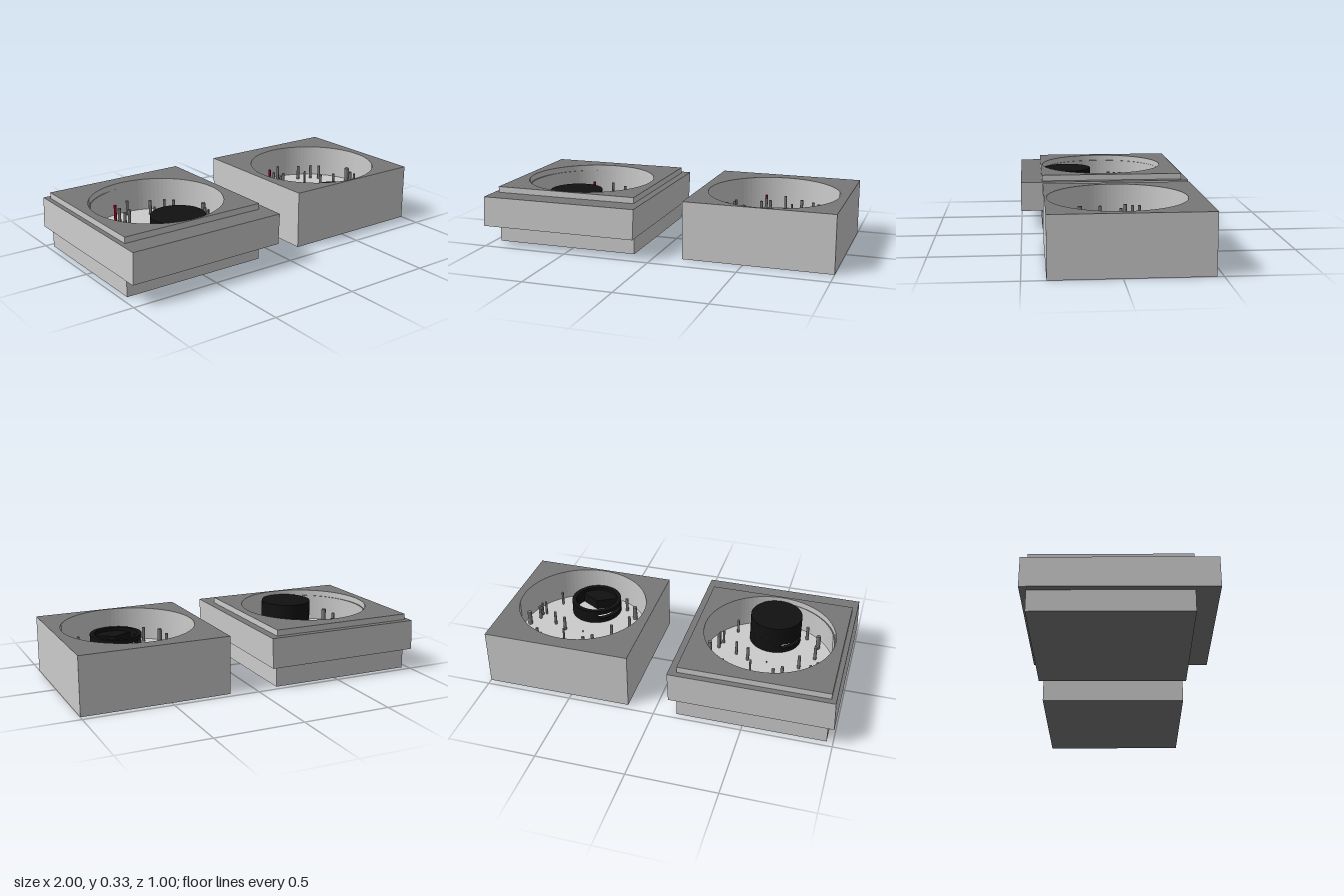
import * as THREE from 'three';

const mat = (color) => new THREE.MeshStandardMaterial({ color });
const grey = mat(0xcccccc), darkGrey = mat(0x777777), black = mat(0x111111), red = mat(0x990022);
const HOLE_Z = -0.01, HOLE_R = 0.373, FLOOR = 0.14;
const rad = THREE.MathUtils.degToRad;

function add(parent, name, geometry, material, x = 0, y = 0, z = 0) {
  const mesh = new THREE.Mesh(geometry, material);
  mesh.name = name;
  mesh.position.set(x, y, z);
  parent.add(mesh);
  return mesh;
}

// Upright extrusion of a plan shape (shape y is -z)
function upright(shape, y0, y1) {
  const g = new THREE.ExtrudeGeometry(shape, { depth: y1 - y0, bevelEnabled: false, curveSegments: 48 });
  g.rotateX(-Math.PI / 2);
  return g.translate(0, y0, 0);
}

// Rectangular slab, optionally with a round hole
function slab(x0, x1, z0, z1, y0, y1, hole) {
  const s = new THREE.Shape();
  s.moveTo(x0, -z1).lineTo(x1, -z1).lineTo(x1, -z0).lineTo(x0, -z0).closePath();
  if (hole) s.holes.push(new THREE.Path().absarc(hole.x, -hole.z, hole.r, 0, Math.PI * 2, true));
  return upright(s, y0, y1);
}

// Ring piece between two angles in degrees
function sector(r0, r1, a0, a1, y0, y1) {
  const s = new THREE.Shape();
  if (a1 - a0 >= 360) {
    s.absarc(0, 0, r1, 0, Math.PI * 2, false);
    s.holes.push(new THREE.Path().absarc(0, 0, r0, 0, Math.PI * 2, true));
  } else {
    s.absarc(0, 0, r1, rad(a0), rad(a1), false);
    if (r0 > 0) s.absarc(0, 0, r0, rad(a1), rad(a0), true);
    else s.lineTo(0, 0);
    s.closePath();
  }
  return upright(s, y0, y1);
}

// Pin positions from the tray centre (x, z) and radius
const PINS = [
  [0, -0.34, 0.008], [-0.1, -0.255, 0.009], [-0.064, -0.205, 0.009], [-0.11, -0.173, 0.009],
  [0.112, -0.267, 0.009], [0.187, -0.232, 0.008], [0.227, -0.195, 0.009], [0.075, -0.158, 0.006],
  [0.187, -0.01, 0.008], [0.112, -0.048, 0.009], [0.337, -0.048, 0.013], [0.3, 0.025, 0.009],
  [0.3, 0.062, 0.006], [0.283, 0.078, 0.007], [0.225, 0.208, 0.007], [0, -0.046, 0.003],
  [-0.26, -0.158, 0.008], [-0.26, -0.12, 0.008], [-0.296, -0.083, 0.009], [-0.185, -0.048, 0.009],
  [-0.26, 0.062, 0.009], [-0.26, 0.174, 0.013], [-0.185, 0.245, 0.009],
];

// Slotted round holder with a wedge at the front
function createHolder(x, withCap) {
  const holder = new THREE.Group();
  holder.name = 'roundHolder';
  holder.position.set(x, 0, 0.21);
  add(holder, 'lowerRing', sector(0.125, 0.15, 0, 360, FLOOR, 0.17), black);
  add(holder, 'slottedWall', sector(0.125, 0.15, 192, 473, 0.17, 0.195), black);
  add(holder, 'upperRing', sector(0.125, 0.15, 0, 360, 0.195, 0.22), black);
  add(holder, 'wedge', sector(0, 0.13, -150, -30, FLOOR, 0.2), black);
  if (withCap) add(holder, 'cap', new THREE.CylinderGeometry(0.15, 0.15, 0.085, 48), black, 0, 0.2625, 0);
  return holder;
}

// Square block with a round well, floor, pins and holder
function createTray(name, x, halfWidth, withCap) {
  const tray = new THREE.Group();
  tray.name = name;
  const x0 = x - halfWidth, x1 = x + halfWidth, z0 = -0.465, z1 = 0.375;
  add(tray, 'base', slab(x0, x1, z0, z1, 0, FLOOR - 0.002), [darkGrey, grey]);
  add(tray, 'walls', slab(x0, x1, z0, z1, FLOOR - 0.002, 0.327, { x, z: HOLE_Z, r: HOLE_R }), [darkGrey, grey]);
  const disc = new THREE.CircleGeometry(HOLE_R, 48).rotateX(-Math.PI / 2);
  add(tray, 'wellFloor', disc, grey, x, FLOOR, HOLE_Z);
  const pins = new THREE.Group();
  pins.name = 'pins';
  for (const [px, pz, r] of PINS) {
    const h = r < 0.005 ? 0.01 : 0.085;
    add(pins, 'pin', new THREE.CylinderGeometry(r, r, h, 12), darkGrey, x + px, FLOOR + h / 2, pz);
  }
  add(pins, 'redPin', new THREE.CylinderGeometry(0.008, 0.008, 0.095, 12), red, x - 0.107, FLOOR + 0.0475, -0.29);
  tray.add(pins, createHolder(x, withCap));
  return tray;
}

export function createModel() {
  const model = new THREE.Group();
  model.name = 'trayPair';
  model.add(createTray('collaredTray', -0.545, 0.42, true));
  model.add(createTray('plainTray', 0.579, 0.421, false));

  // Wide collar around one tray, leaning slightly to the side
  const collar = slab(-1, -0.087, -0.5, 0.5, 0.12, 0.293, { x: -0.545, z: HOLE_Z, r: HOLE_R });
  const p = collar.attributes.position;
  for (let i = 0; i < p.count; i++) p.setX(i, p.getX(i) + (p.getY(i) - 0.12) * 0.045);
  collar.computeVertexNormals();
  add(model, 'collar', collar, [darkGrey, grey]);
  return model;
}
